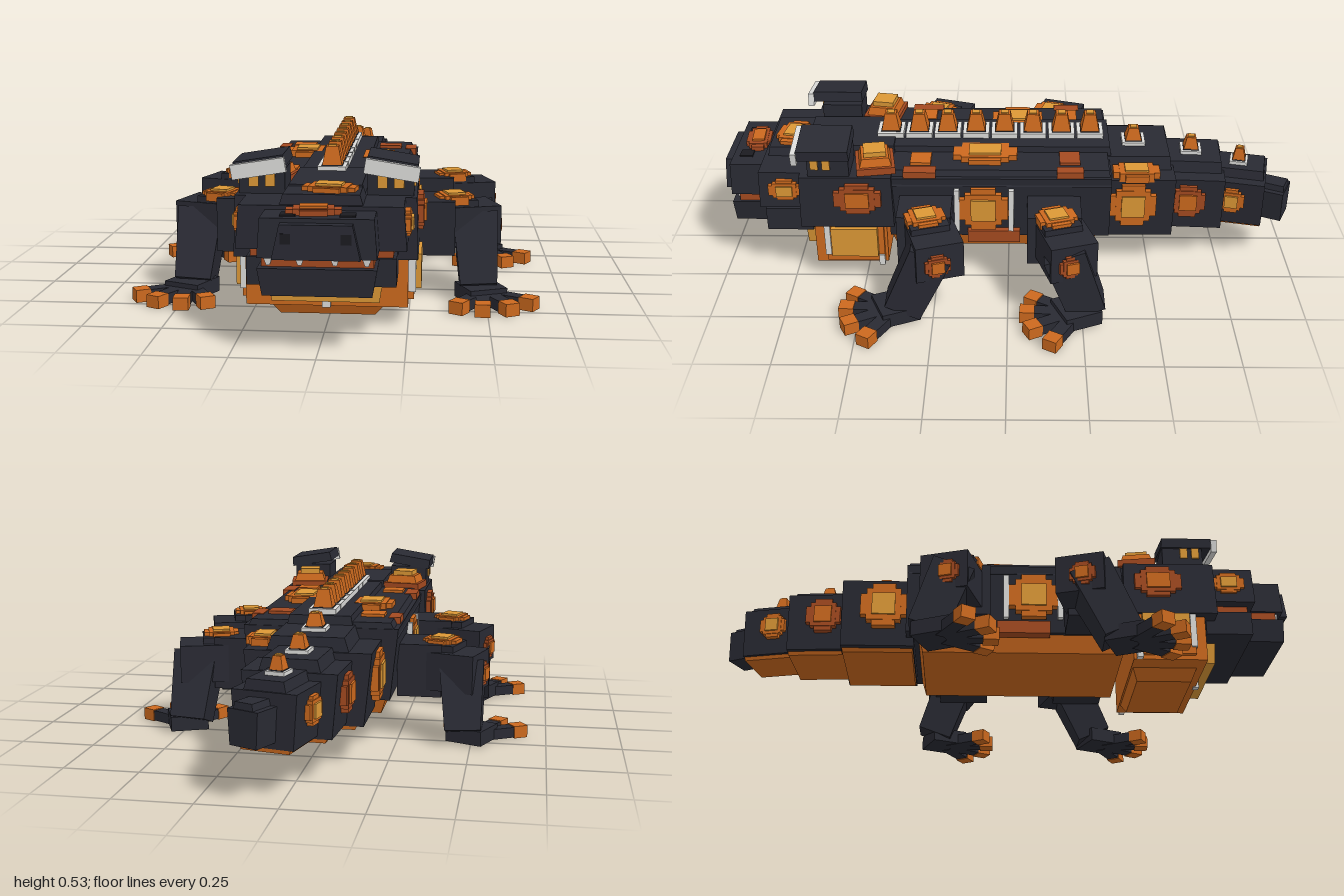
import * as THREE from 'three';

const mat = (name, color) => {
  const m = new THREE.MeshStandardMaterial({ color });
  m.name = name;
  return m;
};
const DARK = mat('charcoal hide', 0x292a33);
const BLACK = mat('black', 0x1b1b20);
const ORANGE = mat('orange', 0xcc691e);
const GOLD = mat('gold', 0xdc9836);
const RUST = mat('rust', 0xa44a20);
const PALE = mat('pale bone', 0xdcdcda);

// Box given by size and centre, its top or bottom optionally narrowed
function box(parent, name, m, size, pos, { top = [1, 1], bottom = [1, 1], yaw = 0, roll = 0 } = {}) {
  const g = new THREE.BoxGeometry(...size);
  const p = g.attributes.position;
  for (let i = 0; i < p.count; i++) {
    const s = p.getY(i) > 0 ? top : bottom;
    p.setX(i, p.getX(i) * s[0]);
    p.setZ(i, p.getZ(i) * s[1]);
  }
  g.computeVertexNormals();
  const mesh = new THREE.Mesh(g, m);
  mesh.name = name;
  mesh.position.set(...pos);
  mesh.rotation.set(0, yaw, roll);
  parent.add(mesh);
  return mesh;
}

// Stepped spot facing local +y: two crossing plates, a core and a raised centre
function spot(parent, name, pos, w, d, outer, inner, { yaw = 0, side = 0 } = {}) {
  const g = new THREE.Group();
  g.name = name;
  box(g, 'spotLong', outer, [w, 0.026, d * 0.5], [0, 0, 0]);
  box(g, 'spotWide', outer, [w * 0.5, 0.028, d], [0, 0, 0]);
  box(g, 'spotCore', outer, [w * 0.74, 0.032, d * 0.74], [0, 0, 0]);
  box(g, 'spotCentre', inner, [w * 0.5, 0.026, d * 0.5], [0, 0.01, 0]);
  g.position.set(...pos);
  g.rotation.set(0, yaw, -side * Math.PI / 2);
  parent.add(g);
}

// Bone base plate with a blunt, gold-capped spike
function spike(parent, x, y, z, s = 1, h = 0.06) {
  box(parent, 'spikeBase', PALE, [0.092 * s, 0.02, 0.092 * s], [x, y, z]);
  box(parent, 'spikeFoot', DARK, [0.068 * s, 0.024, 0.068 * s], [x, y + 0.001, z]);
  box(parent, 'spike', ORANGE, [0.064 * s, h, 0.064 * s], [x, y + 0.012 + h / 2, z], { top: [0.62, 0.62] });
  box(parent, 'spikeCap', GOLD, [0.026 * s, 0.006, 0.026 * s], [x, y + 0.013 + h, z]);
}

// One leg on side s: z of the hip, z of the ankle, and the toe fan centre
function leg(root, name, s, z, ankleZ, footX, footZ) {
  const g = new THREE.Group();
  g.name = name;
  box(g, 'shoulder', DARK, [0.15, 0.18, 0.18], [s * 0.32, 0.24, z + 0.03]);

  // Upper leg swings slightly back
  const upper = new THREE.Group();
  upper.name = 'upperLeg';
  upper.position.set(s * 0.42, 0.24, z);
  upper.rotation.y = s * 0.3;
  g.add(upper);
  box(upper, 'upperLegBlock', DARK, [0.22, 0.13, 0.16], [0, 0, 0]);
  box(upper, 'upperLegPad', DARK, [0.13, 0.03, 0.13], [s * -0.035, 0.072, 0.01]);
  spot(upper, 'topSpot', [s * -0.035, 0.086, 0.015], 0.12, 0.13, ORANGE, GOLD);
  spot(upper, 'outerSpot', [s * 0.108, -0.008, 0.01], 0.08, 0.085, RUST, ORANGE, { side: s });

  // Slanted lower leg
  const a = new THREE.Vector3(s * 0.462, 0.26, z);
  const b = new THREE.Vector3(s * 0.475, 0.04, ankleZ);
  const shin = box(g, 'lowerLeg', DARK, [0.15, a.distanceTo(b), 0.14], [0, 0, 0], { bottom: [0.8, 0.9] });
  shin.position.copy(a).lerp(b, 0.5);
  shin.quaternion.setFromUnitVectors(new THREE.Vector3(0, 1, 0), a.clone().sub(b).normalize());

  // Foot with four spread toes
  box(g, 'foot', DARK, [0.13, 0.05, 0.13], [s * (footX - 0.01), 0.03, footZ], { yaw: s * 0.4 });
  for (const deg of [60, 27, -3, -30]) {
    const t = s * deg * Math.PI / 180;
    const at = r => [s * footX + Math.sin(t) * r, 0.021, footZ + Math.cos(t) * r];
    box(g, 'toe', DARK, [0.045, 0.036, 0.12], at(0.085), { yaw: t });
    box(g, 'toeTip', ORANGE, [0.05, 0.042, 0.05], at(0.165), { yaw: t });
  }
  root.add(g);
}

export function createModel() {
  const root = new THREE.Group();
  root.name = 'armouredReptile';
  const part = name => {
    const g = new THREE.Group();
    g.name = name;
    root.add(g);
    return g;
  };

  // Torso, back ridge and belly
  const body = part('body');
  box(body, 'torso', DARK, [0.52, 0.24, 0.76], [0, 0.28, 0.03], { bottom: [0.9, 1] });
  box(body, 'upperBack', DARK, [0.52, 0.05, 0.76], [0, 0.395, 0.03], { top: [0.9, 0.98] });
  box(body, 'backRidge', DARK, [0.23, 0.06, 0.86], [0, 0.41, 0.07], { top: [0.9, 0.98] });
  box(body, 'belly', ORANGE, [0.44, 0.07, 0.72], [0, 0.135, 0.05], { bottom: [0.9, 0.95] });
  for (let i = 0; i < 8; i++) spike(body, -0.003, 0.448, 0.415 - i * 0.1);
  spot(body, 'backSpot', [-0.13, 0.425, -0.03], 0.15, 0.18, ORANGE, GOLD);
  spot(body, 'backSpot', [0.13, 0.425, 0.08], 0.14, 0.22, ORANGE, GOLD);
  for (const s of [-1, 1]) {
    box(body, 'hipPlate', s > 0 ? RUST : ORANGE, [0.08, 0.02, 0.07], [s * 0.16, 0.42, -0.21]);
    box(body, 'shoulderPlate', ORANGE, [0.075, 0.02, 0.07], [s * 0.165, 0.42, 0.3]);
    box(body, 'edgePlate', RUST, [0.045, 0.025, 0.11], [s * 0.235, 0.41, 0.3]);
    box(body, 'edgePlate', RUST, [0.04, 0.025, 0.09], [s * 0.235, 0.41, -0.21]);
    spot(body, 'flankSpot', [s * 0.257, 0.285, 0.085], 0.16, 0.17, ORANGE, GOLD, { side: s });
    box(body, 'flankPlate', RUST, [0.04, 0.045, 0.18], [s * 0.24, 0.17, 0.05]);
    for (const z of [-0.01, 0.175]) box(body, 'flankRod', PALE, [0.02, 0.16, 0.018], [s * 0.262, 0.28, z]);
  }

  // Head, snout and jaw
  const head = part('head');
  box(head, 'skull', DARK, [0.56, 0.19, 0.32], [0, 0.315, 0.55], { top: [0.98, 0.97] });
  box(head, 'crown', DARK, [0.24, 0.05, 0.32], [0, 0.42, 0.55], { top: [0.92, 0.95] });
  box(head, 'face', DARK, [0.5, 0.13, 0.17], [0, 0.345, 0.765], { top: [0.96, 0.97] });
  box(head, 'browRidge', DARK, [0.25, 0.04, 0.16], [0, 0.42, 0.755], { top: [0.9, 0.92] });
  box(head, 'snout', DARK, [0.34, 0.115, 0.14], [0, 0.34, 0.895], { top: [0.95, 0.95] });
  box(head, 'noseTip', DARK, [0.25, 0.1, 0.05], [0, 0.335, 0.967], { top: [0.82, 0.9] });
  box(head, 'mouth', RUST, [0.32, 0.035, 0.26], [0, 0.268, 0.81]);
  box(head, 'mouthBack', RUST, [0.42, 0.03, 0.14], [0, 0.268, 0.76]);
  box(head, 'lowerJaw', DARK, [0.44, 0.085, 0.16], [0, 0.213, 0.76]);
  box(head, 'jawFront', DARK, [0.34, 0.08, 0.13], [0, 0.213, 0.9], { bottom: [0.92, 0.95] });
  for (const x of [-0.14, -0.05, 0.05, 0.14]) {
    box(head, 'tooth', PALE, [0.026, 0.022, 0.014], [x, 0.27, 0.943], { bottom: [0.4, 0.6] });
  }
  spot(head, 'browSpot', [0.02, 0.44, 0.755], 0.16, 0.11, ORANGE, GOLD, { yaw: -0.15 });
  spot(head, 'snoutSpot', [-0.015, 0.4, 0.89], 0.16, 0.085, RUST, ORANGE, { yaw: 0.08 });
  for (const s of [-1, 1]) {
    box(head, 'nostril', BLACK, [0.03, 0.03, 0.008], [s * 0.085, 0.345, 0.988]);
    box(head, 'nostrilTop', BLACK, [0.045, 0.008, 0.045], [s * 0.085, 0.398, 0.915]);
    spot(head, 'faceSpot', [s * 0.245, 0.35, 0.76], 0.075, 0.11, ORANGE, GOLD, { side: s });
    spot(head, 'cheekSpot', [s * 0.28, 0.335, 0.51], 0.11, 0.16, RUST, ORANGE, { side: s });

    // Raised eye with a sloping brow
    box(head, 'eyeSocket', DARK, [0.14, 0.08, 0.14], [s * 0.195, 0.445, 0.605]);
    for (const x of [0.17, 0.22]) box(head, 'eye', GOLD, [0.03, 0.045, 0.008], [s * x, 0.455, 0.677]);
    for (const z of [0.65, 0.61]) box(head, 'sideEye', GOLD, [0.008, 0.04, 0.026], [s * 0.267, 0.458, z]);
    box(head, 'brow', DARK, [0.16, 0.035, 0.18], [s * 0.2, 0.505, 0.62], { roll: -s * 0.16, top: [0.96, 0.96] });
    box(head, 'browPlate', PALE, [0.165, 0.045, 0.02], [s * 0.2, 0.494, 0.715], { roll: -s * 0.16 });

    // Square horn pads behind the eyes
    box(head, 'hornPad', RUST, [0.14, 0.025, 0.13], [s * 0.19, 0.425, 0.455], { yaw: s * 0.16 });
    box(head, 'hornStep', ORANGE, [0.125, 0.04, 0.115], [s * 0.19, 0.445, 0.455], { yaw: s * 0.16, top: [0.8, 0.8] });
    box(head, 'hornTop', GOLD, [0.075, 0.02, 0.075], [s * 0.19, 0.472, 0.455], { yaw: s * 0.16 });
  }

  // Throat pouch
  const throat = part('throat');
  box(throat, 'pouch', ORANGE, [0.5, 0.2, 0.25], [0, 0.16, 0.545]);
  box(throat, 'pouchBottom', ORANGE, [0.36, 0.04, 0.22], [0, 0.042, 0.535], { bottom: [0.82, 0.85] });
  box(throat, 'chin', GOLD, [0.35, 0.07, 0.05], [0, 0.12, 0.69], { bottom: [0.94, 0.9] });
  box(throat, 'chinRim', ORANGE, [0.26, 0.025, 0.06], [0, 0.165, 0.69]);
  box(throat, 'chinStud', PALE, [0.026, 0.026, 0.02], [0, 0.07, 0.672]);
  for (const s of [-1, 1]) {
    box(throat, 'sidePanel', GOLD, [0.035, 0.11, 0.16], [s * 0.272, 0.16, 0.53]);
    box(throat, 'sideRim', ORANGE, [0.024, 0.17, 0.2], [s * 0.255, 0.16, 0.53]);
    box(throat, 'sideStrip', PALE, [0.026, 0.15, 0.02], [s * 0.26, 0.175, 0.625]);
    box(throat, 'sideStud', PALE, [0.026, 0.04, 0.02], [s * 0.26, 0.08, 0.44]);
  }

  // Tail segments bending aside: x, z, yaw, width, bottom, top, length, spot size
  const tail = part('tail');
  const segments = [
    [0.0, -0.45, 0, 0.41, 0.13, 0.41, 0.25, 0.16],
    [0.012, -0.655, -0.06, 0.3, 0.14, 0.38, 0.21, 0.12],
    [0.04, -0.825, -0.22, 0.21, 0.15, 0.35, 0.18, 0.09],
    [0.085, -0.935, -0.43, 0.11, 0.17, 0.3, 0.1, 0],
  ];
  segments.forEach(([x, z, yaw, w, lo, hi, len, size], i) => {
    const seg = new THREE.Group();
    seg.name = 'tailSegment';
    seg.position.set(x, 0, z);
    seg.rotation.y = yaw;
    tail.add(seg);
    const h = hi - lo;
    box(seg, 'tailCore', DARK, [w, h * 0.84, len], [0, lo + h * 0.42, 0], { bottom: [0.88, 1] });
    box(seg, 'tailRidge', DARK, [w * 0.66, h * 0.2, len * 0.94], [0, hi - h * 0.1, 0], { top: [0.86, 0.94] });
    if (!size) return;
    box(seg, 'tailBelly', ORANGE, [w * 0.84, 0.035, len], [0, lo + 0.005, 0], { bottom: [0.88, 0.96] });
    spike(seg, -0.002, hi + 0.002, 0.01, [0.88, 0.8, 0.68][i], 0.042);
    const [outer, inner] = i === 1 ? [RUST, ORANGE] : [ORANGE, GOLD];
    for (const s of [-1, 1]) {
      spot(seg, 'tailSpot', [s * (w / 2 - 0.002), lo + h * 0.5, 0.02], size, size, outer, inner, { side: s });
    }
  });
  spot(tail, 'tailTopSpot', [0.165, 0.375, -0.44], 0.11, 0.16, ORANGE, GOLD);

  // Legs
  for (const s of [-1, 1]) {
    leg(root, s > 0 ? 'leftFrontLeg' : 'rightFrontLeg', s, 0.25, 0.35, 0.492, 0.375);
    leg(root, s > 0 ? 'leftHindLeg' : 'rightHindLeg', s, -0.185, -0.265, 0.51, -0.23);
  }
  return root;
}
